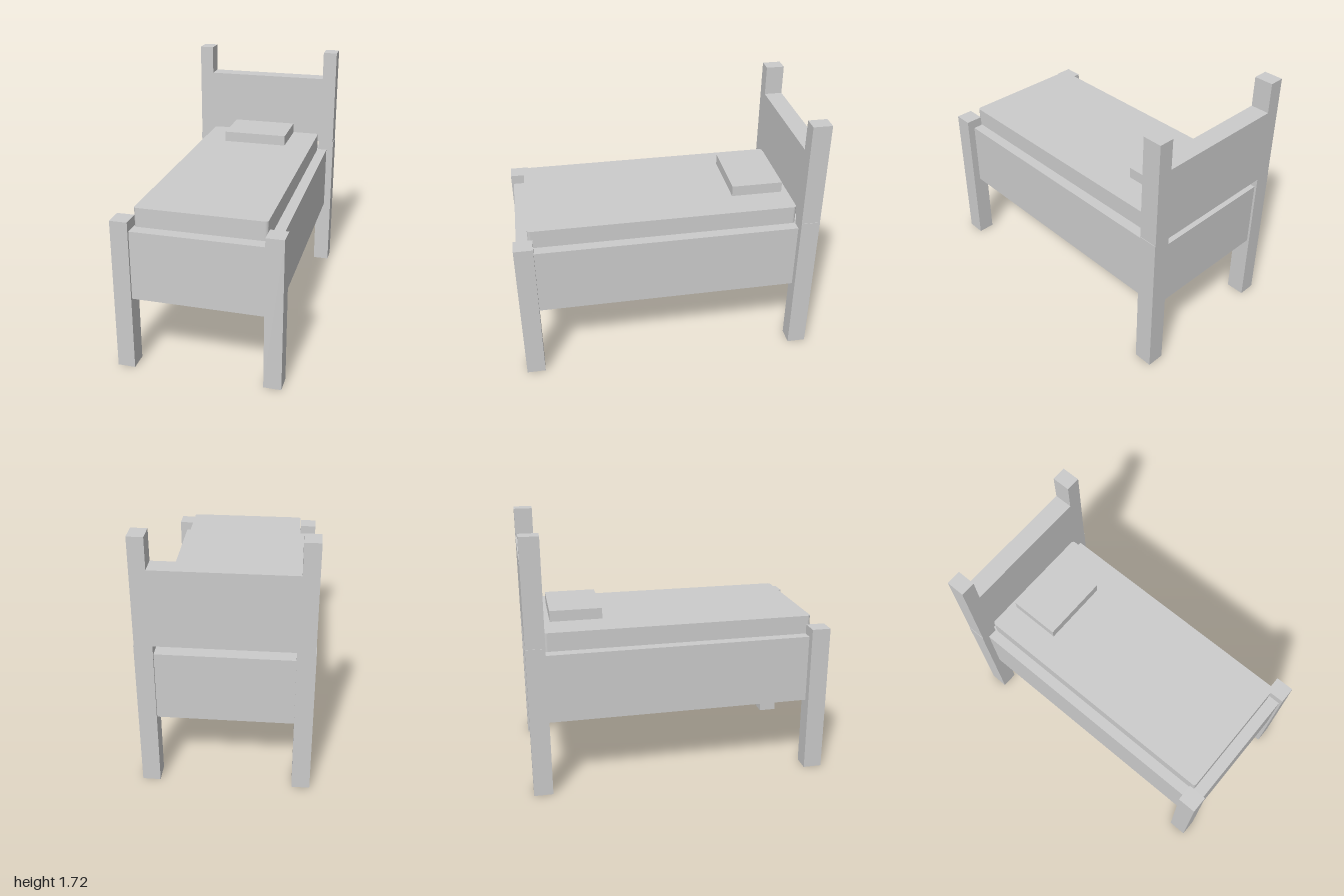
import * as THREE from 'three';

const material = new THREE.MeshStandardMaterial({ color: 0xcccccc, flatShading: true });

export function createModel() {
  const bed = new THREE.Group();
  bed.name = 'bed';

  function add(name, geometry, x, y, z) {
    const mesh = new THREE.Mesh(geometry, material);
    mesh.name = name;
    mesh.position.set(x, y, z);
    bed.add(mesh);
  }

  // Box given by its lower and upper limits on each axis
  function box(name, [x0, x1], [y0, y1], [z0, z1]) {
    add(name, new THREE.BoxGeometry(x1 - x0, y1 - y0, z1 - z0),
      (x0 + x1) / 2, (y0 + y1) / 2, (z0 + z1) / 2);
  }

  // Legs and rails, mirrored across both axes
  for (const s of [-1, 1]) {
    const side = s > 0 ? 'left' : 'right';
    const mirrored = (a, b) => (s > 0 ? [a, b] : [-b, -a]);
    box(side + 'FrontLeg', mirrored(0.425, 0.54), [0, 1.02], [0.875, 1]);
    box(side + 'BackLeg', mirrored(0.425, 0.54), [0, 1.02], [-1, -0.875]);
    box(side + 'SideRail', mirrored(0.415, 0.49), [0.495, 0.955], [-0.93, 0.93]);
    box(s > 0 ? 'frontRail' : 'backRail', [-0.43, 0.43], [0.495, 0.955], mirrored(0.872, 0.985));
  }

  // Headboard: a panel with a raised post at each end
  const board = new THREE.Shape([
    [-0.537, 1.02], [0.537, 1.02], [0.537, 1.722], [0.438, 1.722],
    [0.438, 1.52], [-0.438, 1.52], [-0.438, 1.722], [-0.537, 1.722],
  ].map(([x, y]) => new THREE.Vector2(x, y)));
  add('headboard', new THREE.ExtrudeGeometry(board, { depth: 0.125, bevelEnabled: false }), 0, 0, -1);

  // Cross beams under the slats
  for (const z of [-0.85, -0.4, 0.4, 0.85]) {
    box('crossBeam', [-0.42, 0.42], [0.67, 0.77], [z - 0.05, z + 0.05]);
  }

  // Lengthwise slats
  for (let i = 0; i < 6; i++) {
    const x = (i - 2.5) * 0.14;
    box('slat', [x - 0.04, x + 0.04], [0.77, 0.84], [-0.88, 0.88]);
  }

  // Mattress with rounded upright corners
  const w = 0.42, z0 = -0.875, z1 = 0.905, r = 0.02;
  const outline = new THREE.Shape();
  outline.absarc(w - r, -z0 - r, r, 0, Math.PI / 2);
  outline.absarc(-w + r, -z0 - r, r, Math.PI / 2, Math.PI);
  outline.absarc(-w + r, -z1 + r, r, Math.PI, Math.PI * 1.5);
  outline.absarc(w - r, -z1 + r, r, Math.PI * 1.5, Math.PI * 2);
  const mattress = new THREE.ExtrudeGeometry(outline, { depth: 0.24, bevelEnabled: false, curveSegments: 4 });
  mattress.rotateX(-Math.PI / 2);
  add('mattress', mattress, 0, 0.84, 0);

  // Pillow hovering just above the mattress
  box('pillow', [-0.23, 0.23], [1.092, 1.165], [-0.825, -0.48]);

  return bed;
}
